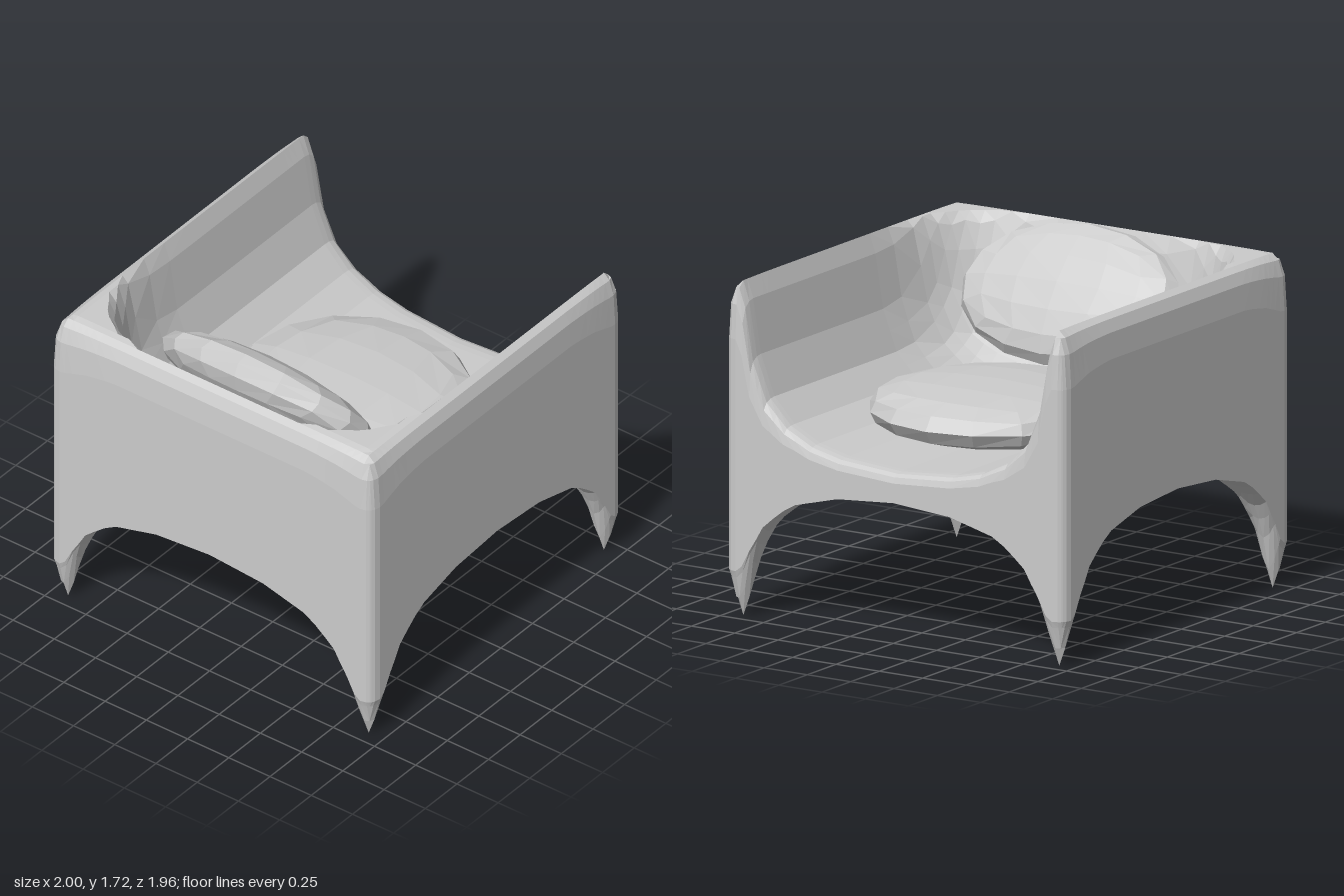
import * as THREE from 'three';

// piecewise-linear lookup through [input, output] pairs
function lookup(table, v) {
  if (v <= table[0][0]) return table[0][1];
  for (let i = 1; i < table.length; i++) {
    const [a, ya] = table[i - 1], [b, yb] = table[i];
    if (v <= b) return ya + (yb - ya) * (v - a) / (b - a);
  }
  return table[table.length - 1][1];
}

// leg flare: distance from leg axis -> underside height
const LEG = [[0, 0], [0.02, 0.03], [0.06, 0.2], [0.1, 0.33], [0.18, 0.48], [0.33, 0.6], [0.6, 0.67], [0.93, 0.695], [1.4, 0.71]];
// inner bowl: distance from the middle -> upper height
const BOWL = [[0, 0.84], [0.33, 0.865], [0.5, 0.905], [0.65, 0.98], [0.77, 1.1], [0.85, 1.3], [0.895, 1.57], [0.93, 1.67]];
// rounding of the outer edges, as a fraction of the local thickness
const ROUND = [[0.9, 0], [0.93, 0.005], [0.965, 0.025], [0.99, 0.08], [1, 0.2]];
const HALF = [0.17, 0.33, 0.5, 0.58, 0.65, 0.71, 0.77, 0.81, 0.85, 0.895, 0.93, 0.965, 0.99, 1];
const STEPS = [...HALF.map(v => -v).reverse(), 0, ...HALF];
const LEG_AXIS = 0.93, DEPTH = 0.98;

// moulded shell: bowl on top, flared legs below, outer walls between
function shellGeometry() {
  const n = STEPS.length, pos = [], index = [];
  const top = (i, j) => i * n + j, low = (i, j) => n * n + i * n + j;
  const upper = [], lower = [];
  for (const a of STEPS) for (const b of STEPS) {
    let x = a, z = b;
    // round the vertical corners
    const ex = Math.abs(a) - LEG_AXIS, ez = Math.abs(b) - LEG_AXIS;
    if (ex > 0 && ez > 0) {
      const k = Math.max(ex, ez) / Math.hypot(ex, ez);
      x = Math.sign(a) * (LEG_AXIS + ex * k);
      z = Math.sign(b) * (LEG_AXIS + ez * k);
    }
    const under = lookup(LEG, Math.hypot(Math.abs(x) - LEG_AXIS, Math.abs(z) - LEG_AXIS));
    const r = Math.pow(Math.pow(Math.abs(b), 4) + Math.pow(Math.max(0, -a), 4), 0.25);
    const over = lookup(BOWL, r);
    const drop = lookup(ROUND, Math.max(Math.abs(a), Math.abs(b))) * (over - Math.min(under, 0.6));
    upper.push(x, Math.max(over - drop, under + 0.02), z * DEPTH);
    lower.push(x, under, z * DEPTH);
  }
  pos.push(...upper, ...lower);

  for (let i = 0; i < n - 1; i++) for (let j = 0; j < n - 1; j++) {
    const same = (STEPS[i] + STEPS[i + 1]) * (STEPS[j] + STEPS[j + 1]) > 0;
    for (const id of [top, low]) {
      const a = id(i, j), b = id(i, j + 1), c = id(i + 1, j + 1), d = id(i + 1, j);
      const tris = same ? [a, b, d, b, c, d] : [a, b, c, a, c, d];
      index.push(...(id === top ? tris : tris.reverse()));
    }
  }

  // outer walls around the perimeter
  const m = n - 1, edge = [];
  for (let k = 0; k < m; k++) edge.push([k, m]);
  for (let k = 0; k < m; k++) edge.push([m, m - k]);
  for (let k = 0; k < m; k++) edge.push([m - k, 0]);
  for (let k = 0; k < m; k++) edge.push([0, k]);
  edge.forEach((p, k) => {
    const q = edge[(k + 1) % edge.length];
    index.push(low(...p), low(...q), top(...q), low(...p), top(...q), top(...p));
  });

  const g = new THREE.BufferGeometry();
  g.setAttribute('position', new THREE.Float32BufferAttribute(pos, 3));
  g.setIndex(index);
  g.computeVertexNormals();
  return g;
}

// pillow: a subdivided cube puffed into a flattened ball
function cushionGeometry(rx, ry, rz, puff) {
  const g = new THREE.BoxGeometry(2, 2, 2, 4, 4, 4);
  const p = g.attributes.position, v = new THREE.Vector3();
  for (let i = 0; i < p.count; i++) {
    v.fromBufferAttribute(p, i);
    v.set(...v.toArray().map(c => Math.tan(c * Math.PI / 4))).normalize();
    p.setXYZ(i, v.x * rx, Math.sign(v.y) * Math.pow(Math.abs(v.y), puff) * ry, v.z * rz);
  }
  g.computeVertexNormals();
  return g;
}

export function createModel() {
  const grey = new THREE.MeshStandardMaterial({ color: 0xcccccc, flatShading: true });
  grey.name = 'light grey';
  const model = new THREE.Group();
  model.name = 'armchair';
  const add = (name, geometry) => {
    const mesh = new THREE.Mesh(geometry, grey);
    mesh.name = name;
    model.add(mesh);
    return mesh;
  };

  add('chairShell', shellGeometry());

  add('seatCushion', cushionGeometry(0.62, 0.14, 0.62, 0.75)).position.set(0.1, 0.99, 0);

  // leaning back against the rear wall
  const back = add('backCushion', cushionGeometry(0.38, 0.145, 0.615, 0.9));
  back.position.set(-0.54, 1.41, 0);
  back.rotation.z = -THREE.MathUtils.degToRad(52);

  return model;
}
